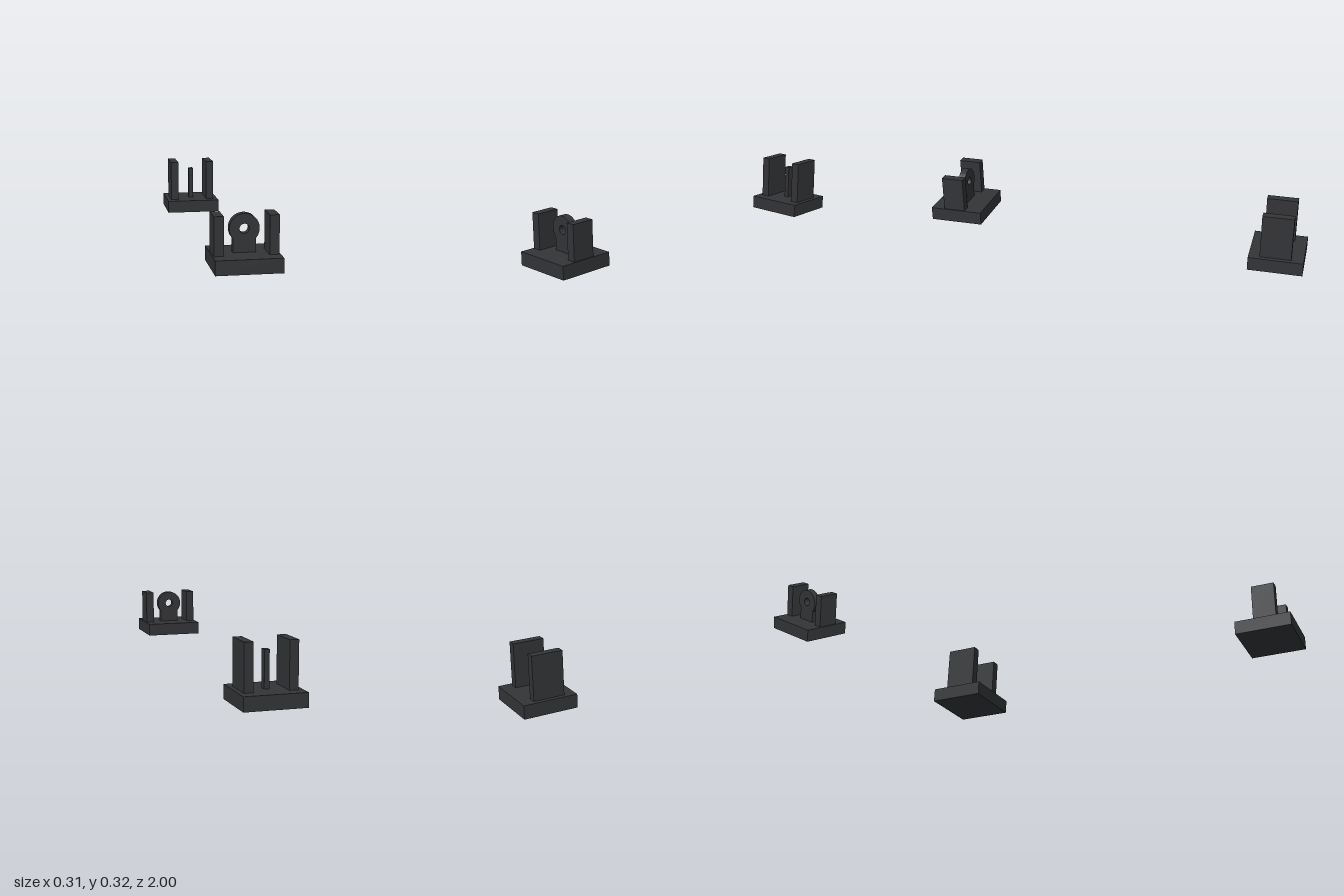
import * as THREE from 'three';

const material = new THREE.MeshStandardMaterial({ color: 0x333437 });

// Box given by its lower and upper limits on each axis
function box(name, [x0, x1], [y0, y1], [z0, z1]) {
  const mesh = new THREE.Mesh(new THREE.BoxGeometry(x1 - x0, y1 - y0, z1 - z0), material);
  mesh.position.set((x0 + x1) / 2, (y0 + y1) / 2, (z0 + z1) / 2);
  mesh.name = name;
  return mesh;
}

// Mirrored pair of upright guard plates
function guards(name, inner, outer, y, z) {
  return [
    box(name + 'Left', [inner, outer], y, z),
    box(name + 'Right', [-outer, -inner], y, z),
  ];
}

// Upright plate: round eye with a hole, merging into a straight foot
function eyePlate() {
  const r = 0.069, half = 0.052, cy = 0.252, foot = 0.143, depth = 0.036;
  const a = Math.acos(half / r);
  const shape = new THREE.Shape();
  shape.moveTo(-half, foot);
  shape.lineTo(half, foot);
  shape.absarc(0, cy, r, -a, Math.PI + a, false);
  shape.closePath();
  const hole = new THREE.Path();
  hole.absarc(0, cy, 0.022, 0, Math.PI * 2, true);
  shape.holes.push(hole);
  const geometry = new THREE.ExtrudeGeometry(shape, { depth, bevelEnabled: false, curveSegments: 24 });
  const mesh = new THREE.Mesh(geometry, material);
  mesh.position.z = 0.853 - depth / 2;
  mesh.name = 'eyePlate';
  return mesh;
}

export function createModel() {
  const model = new THREE.Group();
  model.name = 'sightPair';

  // Front unit: base, eye plate and two short guards
  const front = new THREE.Group();
  front.name = 'eyeUnit';
  front.add(
    box('eyeBase', [-0.153, 0.153], [0.075, 0.143], [0.72, 1]),
    ...guards('eyeGuard', 0.103, 0.147, [0.143, 0.322], [0.813, 0.928]),
    eyePlate(),
  );

  // Rear unit: base, thin post and two tall guards
  const rear = new THREE.Group();
  rear.name = 'postUnit';
  rear.add(
    box('postBase', [-0.153, 0.153], [0, 0.07], [-1, -0.72]),
    ...guards('postGuard', 0.085, 0.129, [0.07, 0.298], [-0.937, -0.777]),
    box('post', [-0.0125, 0.0125], [0.07, 0.25], [-0.878, -0.842]),
  );

  model.add(front, rear);
  return model;
}
